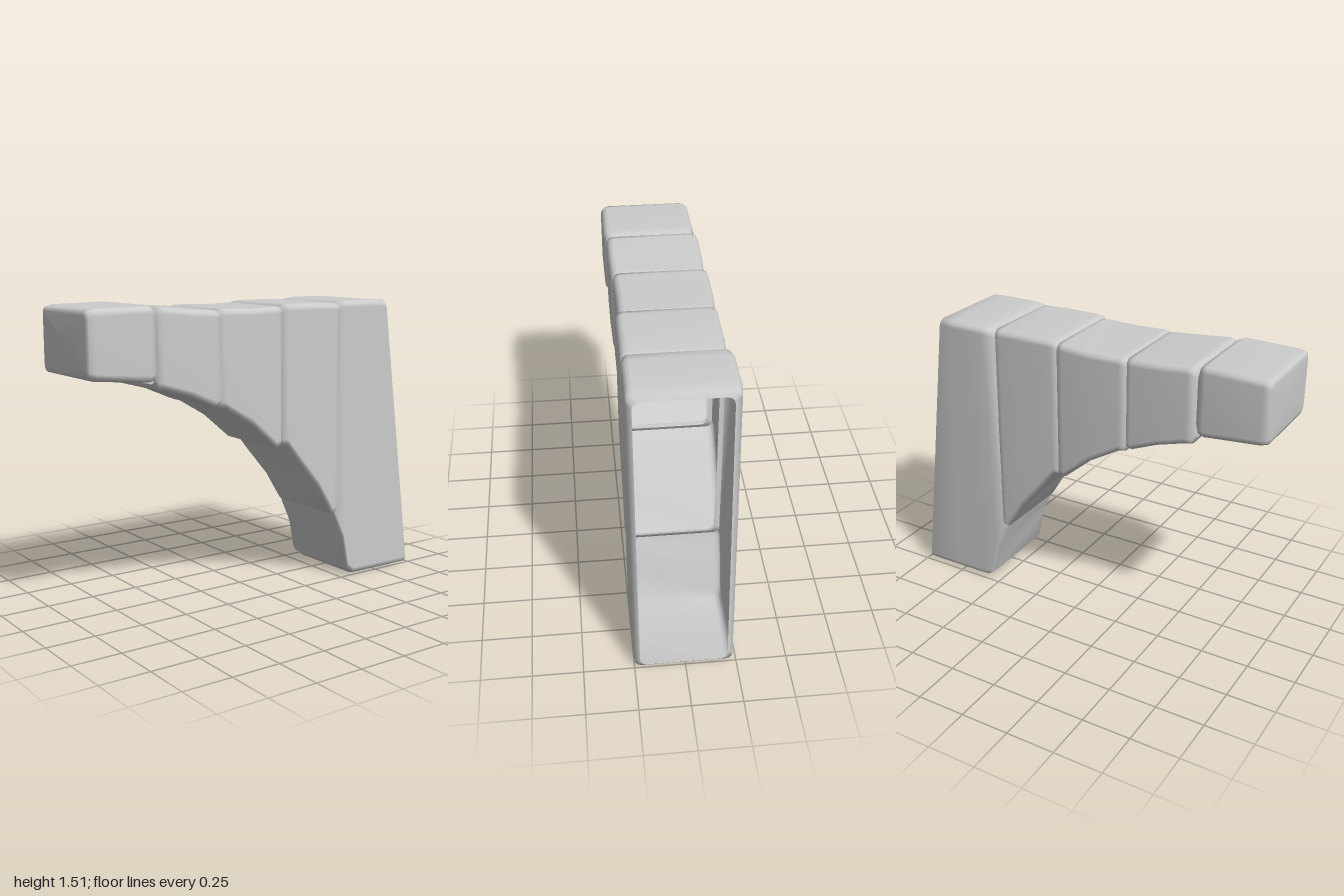
import * as THREE from 'three';

const material = new THREE.MeshStandardMaterial({ color: 0xcccccc, side: THREE.DoubleSide });

// Rounded rectangular ring, counter-clockwise seen from +z; it may lean in z between bottom and top.
// s = [zBottom, yBottom, zTop, yTop, xRightBottom, xRightTop, xLeft]; inset shrinks the outline.
function ring(s, inset = 0, radius = 0.035) {
  const [zb, yb, zt, yt, xrb, xrt, xl] = s;
  const h = yt - yb, pts = [];
  const steps = 3;
  [[1, 0], [1, 1], [0, 1], [0, 0]].forEach(([side, top], c) => {
    for (let k = 0; k <= steps; k++) {
      const a = (c - 1 + k / steps) * Math.PI / 2;
      const m = inset + radius;
      const v = ((top ? h - m : m) + Math.sin(a) * radius) / h;
      const xr = xrb + (xrt - xrb) * v;
      const x = (side ? xl - m : xr + m) + Math.cos(a) * radius;
      pts.push([x, yb + h * v, zb + (zt - zb) * v]);
    }
  });
  return pts;
}

// Skin a list of rings, ordered front to back
function skin(name, rings) {
  const n = rings[0].length, index = [];
  for (let i = 0; i < rings.length - 1; i++) {
    for (let j = 0; j < n; j++) {
      const k = (j + 1) % n;
      const a = i * n + j, b = i * n + k, c = a + n, d = b + n;
      index.push(a, c, b, b, c, d);
    }
  }
  const g = new THREE.BufferGeometry();
  g.setAttribute('position', new THREE.Float32BufferAttribute(rings.flat(2), 3));
  g.setIndex(index);
  g.computeVertexNormals();
  const mesh = new THREE.Mesh(g, material);
  mesh.name = name;
  return mesh;
}

// Section standing upright at one z
const at = (z, yb, yt, xr, xl) => [z, yb, z, yt, xr, xr, xl];

// Arch stone: upright sections with softened, open ends hidden in its neighbours
function stone(name, sections) {
  const first = sections[0], last = sections[sections.length - 1];
  const move = (s, dz) => [s[0] + dz, s[1], s[2] + dz, ...s.slice(3)];
  return skin(name, [
    ring(move(first, 0.012), 0.03),
    ring(first, 0.004),
    ...sections.map((s) => ring(move(s, s === first ? -0.03 : s === last ? 0.03 : 0))),
    ring(last, 0.004),
    ring(move(last, -0.012), 0.03),
  ]);
}

export function createModel() {
  const group = new THREE.Group();
  group.name = 'halfArch';

  // End stone with a closed front
  const tip = (z) => at(z, 1.18, 1.505, -0.22, 0.26);
  const face = ring(tip(1), 0.03, 0.02);
  const centre = face.map(() => [0.02, 1.34, 1]);
  group.add(skin('endStone', [
    centre, face,
    ring(tip(0.992), 0.008),
    ring(tip(0.96)),
    ring(at(0.68, 1.155, 1.51, -0.22, 0.26)),
    ring(at(0.65, 1.15, 1.505, -0.215, 0.255), 0.008),
    ring(at(0.63, 1.15, 1.5, -0.21, 0.25), 0.03),
  ]));

  // Stones along the curved underside
  group.add(stone('outerArchStone', [
    at(0.63, 1.11, 1.5, -0.235, 0.25),
    at(0.45, 1.065, 1.485, -0.235, 0.25),
    at(0.28, 1.005, 1.475, -0.23, 0.245),
  ]));
  group.add(stone('middleArchStone', [
    at(0.28, 0.99, 1.48, -0.245, 0.24),
    at(0.08, 0.89, 1.475, -0.245, 0.235),
    at(-0.1, 0.76, 1.48, -0.235, 0.235),
  ]));
  group.add(stone('innerArchStone', [
    at(-0.1, 0.765, 1.49, -0.24, 0.25),
    at(-0.22, 0.655, 1.49, -0.24, 0.25),
    at(-0.34, 0.515, 1.49, -0.24, 0.25),
    at(-0.465, 0.36, 1.485, -0.235, 0.25),
  ]));

  // Hollow foot: the lower edge of the leaning sections forms its front, the back stays open
  group.add(skin('footStone', [
    ring([-0.45, 0.36, -0.45, 1.48, -0.22, -0.235, 0.23], 0.015),
    ring([-0.46, 0.32, -0.47, 1.49, -0.235, -0.255, 0.245]),
    ring([-0.515, 0.2, -0.52, 1.495, -0.235, -0.265, 0.25]),
    ring([-0.548, 0.035, -0.56, 1.495, -0.235, -0.265, 0.25]),
    ring([-0.59, 0.002, -0.6, 1.495, -0.235, -0.265, 0.25]),
    ring([-0.8, 0, -0.7, 1.495, -0.235, -0.265, 0.25]),
    ring([-0.985, 0, -0.78, 1.49, -0.235, -0.255, 0.25]),
    ring([-1, 0.005, -0.795, 1.475, -0.22, -0.235, 0.235], 0.012),
  ]));

  return group;
}
